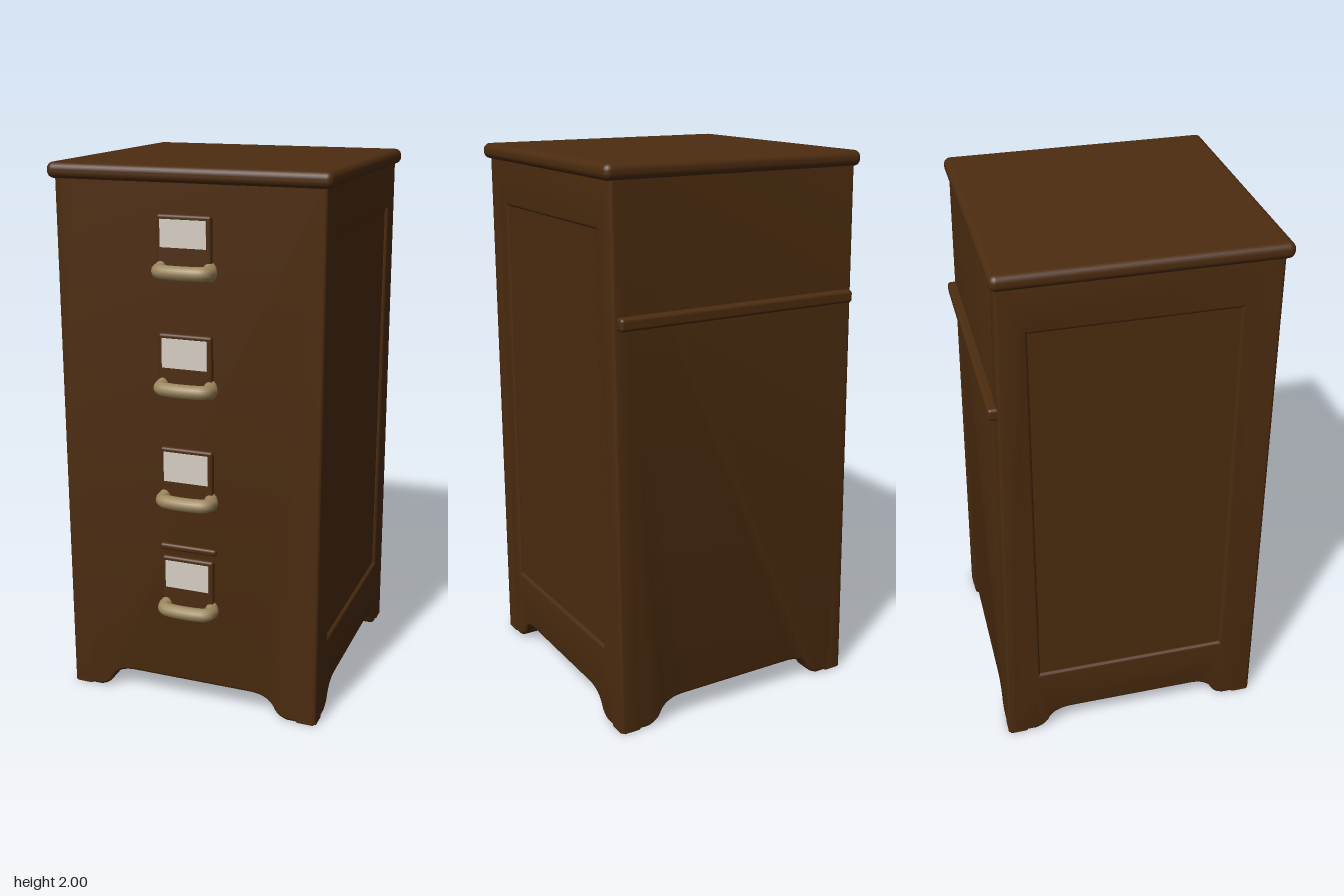
import * as THREE from 'three';
import { toCreasedNormals } from 'three/addons/utils/BufferGeometryUtils.js';
import { RoundedBoxGeometry } from 'three/addons/geometries/RoundedBoxGeometry.js';

const HALF = 0.49, FRONT = 0.46, TOP = 1.96, WALL = 0.08, BEVEL = 0.012;
const backZ = (y) => -0.535 + 0.023 * y; // the back leans in towards the top

const wood = new THREE.MeshStandardMaterial({ color: 0x4c2c0f });
wood.name = 'dark wood';
const brass = new THREE.MeshStandardMaterial({ color: 0x9c875e });
brass.name = 'aged brass';
const paper = new THREE.MeshStandardMaterial({ color: 0xd6cec3 });
paper.name = 'label paper';

function add(parent, name, geometry, material, x = 0, y = 0, z = 0) {
  const mesh = new THREE.Mesh(geometry, material);
  mesh.name = name;
  mesh.position.set(x, y, z);
  parent.add(mesh);
  return mesh;
}

// Upright board with bracket feet: l and r are its edges as functions of y
function boardShape(l, r) {
  const a = l(0), b = r(0);
  const s = new THREE.Shape();
  s.moveTo(a, 0);
  s.lineTo(a + 0.11, 0);
  s.quadraticCurveTo(a + 0.145, 0.008, a + 0.16, 0.035);
  s.quadraticCurveTo(a + 0.18, 0.085, a + 0.25, 0.088);
  s.lineTo(b - 0.25, 0.088);
  s.quadraticCurveTo(b - 0.18, 0.085, b - 0.16, 0.035);
  s.quadraticCurveTo(b - 0.145, 0.008, b - 0.11, 0);
  s.lineTo(b, 0);
  s.lineTo(r(TOP), TOP);
  s.lineTo(l(TOP), TOP);
  s.closePath();
  return s;
}

// Extrusion of total thickness WALL from z = 0, with softened edges
function board(shape) {
  const g = new THREE.ExtrudeGeometry(shape, {
    depth: WALL - 2 * BEVEL, bevelThickness: BEVEL, bevelSize: BEVEL,
    bevelOffset: -BEVEL, bevelSegments: 3, curveSegments: 8,
  });
  return g.translate(0, 0, BEVEL);
}

function createCabinet() {
  const cabinet = new THREE.Group();
  cabinet.name = 'cabinet';

  // Front and back boards
  const wide = boardShape(() => -HALF, () => HALF);
  add(cabinet, 'frontBoard', toCreasedNormals(board(wide), 0.6), wood, 0, 0, FRONT - WALL);
  const back = board(wide);
  const p = back.attributes.position;
  for (let i = 0; i < p.count; i++) p.setZ(i, p.getZ(i) + backZ(p.getY(i)));
  add(cabinet, 'backBoard', toCreasedNormals(back, 0.6), wood);

  // Side boards, each framing a shallow sunken panel
  const side = boardShape(backZ, () => FRONT);
  const hole = new THREE.Path();
  hole.moveTo(-0.4, 0.29);
  hole.lineTo(-0.39, 1.78);
  hole.lineTo(0.32, 1.78);
  hole.lineTo(0.32, 0.29);
  hole.closePath();
  side.holes.push(hole);
  const sideGeometry = toCreasedNormals(board(side).rotateY(-Math.PI / 2), 0.6);
  add(cabinet, 'leftSide', sideGeometry, wood, HALF);
  add(cabinet, 'rightSide', sideGeometry, wood, -HALF + WALL);

  // Inner body: closes the bottom and forms the sunken side panels
  const inset = 0.012, floor = 0.13;
  const inner = new THREE.Shape();
  inner.moveTo(backZ(floor) + inset, floor);
  inner.lineTo(FRONT - inset, floor);
  inner.lineTo(FRONT - inset, TOP);
  inner.lineTo(backZ(TOP) + inset, TOP);
  inner.closePath();
  const core = new THREE.ExtrudeGeometry(inner, { depth: 2 * (HALF - inset), bevelEnabled: false });
  add(cabinet, 'innerBody', core.rotateY(-Math.PI / 2), wood, HALF - inset);

  // Top slab and the rail across the back
  add(cabinet, 'topSlab', new RoundedBoxGeometry(1.025, 0.056, 0.99, 4, 0.025), wood, 0, 1.972, -0.01);
  add(cabinet, 'backRail', new RoundedBoxGeometry(0.95, 0.045, 0.05, 3, 0.012), wood, 0, 1.487, -0.506);
  return cabinet;
}

// Bowed pull with two flared mounts
function createHandle() {
  const handle = new THREE.Group();
  handle.name = 'handle';
  const path = new THREE.CatmullRomCurve3([
    [-0.092, 0.47], [-0.082, 0.505], [-0.045, 0.516], [0.045, 0.516], [0.082, 0.505], [0.092, 0.47],
  ].map(([x, z]) => new THREE.Vector3(x, 0, z)));
  add(handle, 'handleBar', new THREE.TubeGeometry(path, 28, 0.025, 12), brass);
  const mount = new THREE.CylinderGeometry(0.02, 0.036, 0.06, 14).rotateX(Math.PI / 2);
  mount.scale(0.75, 1.05, 1);
  for (const s of [-1, 1]) add(handle, 'handleMount', mount, brass, s * 0.087, 0, 0.483);
  return handle;
}

export function createModel() {
  const model = new THREE.Group();
  model.name = 'filingCabinet';
  model.add(createCabinet());

  // Drawer fittings: [handle y, label bottom, label top]
  const drawers = [
    [1.652, 1.73, 1.825], [1.242, 1.31, 1.415], [0.825, 0.89, 1.0], [0.4, 0.475, 0.58],
  ];
  for (const [y, low, high] of drawers) {
    const fitting = new THREE.Group();
    fitting.name = 'drawerFitting';
    const bottom = y - 0.03, top = high + 0.016;
    add(fitting, 'fittingPlate', new RoundedBoxGeometry(0.2, top - bottom, 0.04, 3, 0.01), wood,
      -0.003, (top + bottom) / 2, 0.456);
    add(fitting, 'label', new THREE.BoxGeometry(0.168, high - low, 0.006), paper,
      -0.004, (low + high) / 2, 0.476);
    const handle = createHandle();
    handle.position.y = y;
    fitting.add(handle);
    model.add(fitting);
  }

  // Lip above the lowest label
  add(model, 'labelLip', new RoundedBoxGeometry(0.22, 0.025, 0.03, 3, 0.01), wood, -0.003, 0.63, 0.457);
  return model;
}
